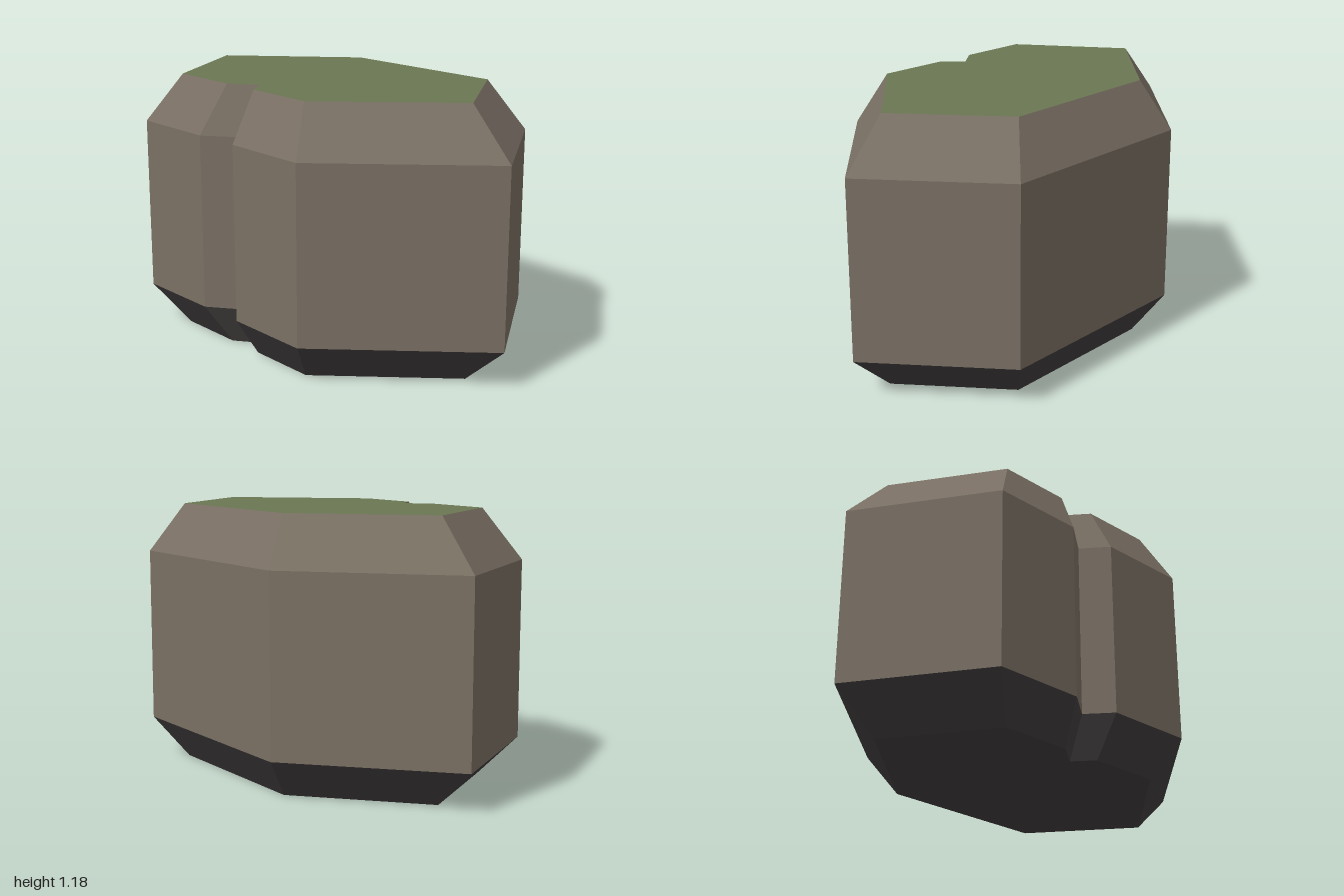
import * as THREE from 'three';

// Rock footprint [x, z], clockwise from above, with a small notch in front
const OUTLINE = [
  [-1, -0.157], [-0.325, -0.623], [0.68, -0.498], [1, 0.107], [0.325, 0.618],
  [-0.087, 0.555], [-0.16, 0.433], [-0.32, 0.52], [-0.73, 0.46],
];
const INSET = 0.796;

// Flat-sided band between two scaled copies of the footprint
function band(y0, s0, y1, s1) {
  const pos = [];
  OUTLINE.forEach(([ax, az], i) => {
    const [bx, bz] = OUTLINE[(i + 1) % OUTLINE.length];
    const a0 = [ax * s0, y0, az * s0], b0 = [bx * s0, y0, bz * s0];
    const a1 = [ax * s1, y1, az * s1], b1 = [bx * s1, y1, bz * s1];
    pos.push(...a0, ...b1, ...b0, ...a0, ...a1, ...b1);
  });
  const geo = new THREE.BufferGeometry();
  geo.setAttribute('position', new THREE.Float32BufferAttribute(pos, 3));
  geo.computeVertexNormals();
  return geo;
}

// Flat cap facing up (dir = 1) or down (dir = -1)
function cap(y, dir) {
  const points = OUTLINE.map(([x, z]) => new THREE.Vector2(x * INSET, -dir * z * INSET));
  return new THREE.ShapeGeometry(new THREE.Shape(points))
    .rotateX(-dir * Math.PI / 2)
    .translate(0, y, 0);
}

export function createModel() {
  const material = (name, color) => {
    const m = new THREE.MeshStandardMaterial({ color });
    m.name = name;
    return m;
  };
  const stone = material('stone', 0x7a7064);
  const darkStone = material('darkStone', 0x413d3e);
  const grass = material('grass', 0x6b7753);

  const group = new THREE.Group();
  group.name = 'rock';
  const add = (name, geo, mat) => {
    const mesh = new THREE.Mesh(geo, mat);
    mesh.name = name;
    group.add(mesh);
  };

  add('bottomFace', cap(0, -1), darkStone);
  add('lowerBevel', band(0, INSET, 0.178, 1), darkStone);
  add('walls', band(0.178, 1, 0.963, 1), stone);
  add('upperBevel', band(0.963, 1, 1.183, INSET), stone);
  add('grassTop', cap(1.183, 1), grass);
  return group;
}
